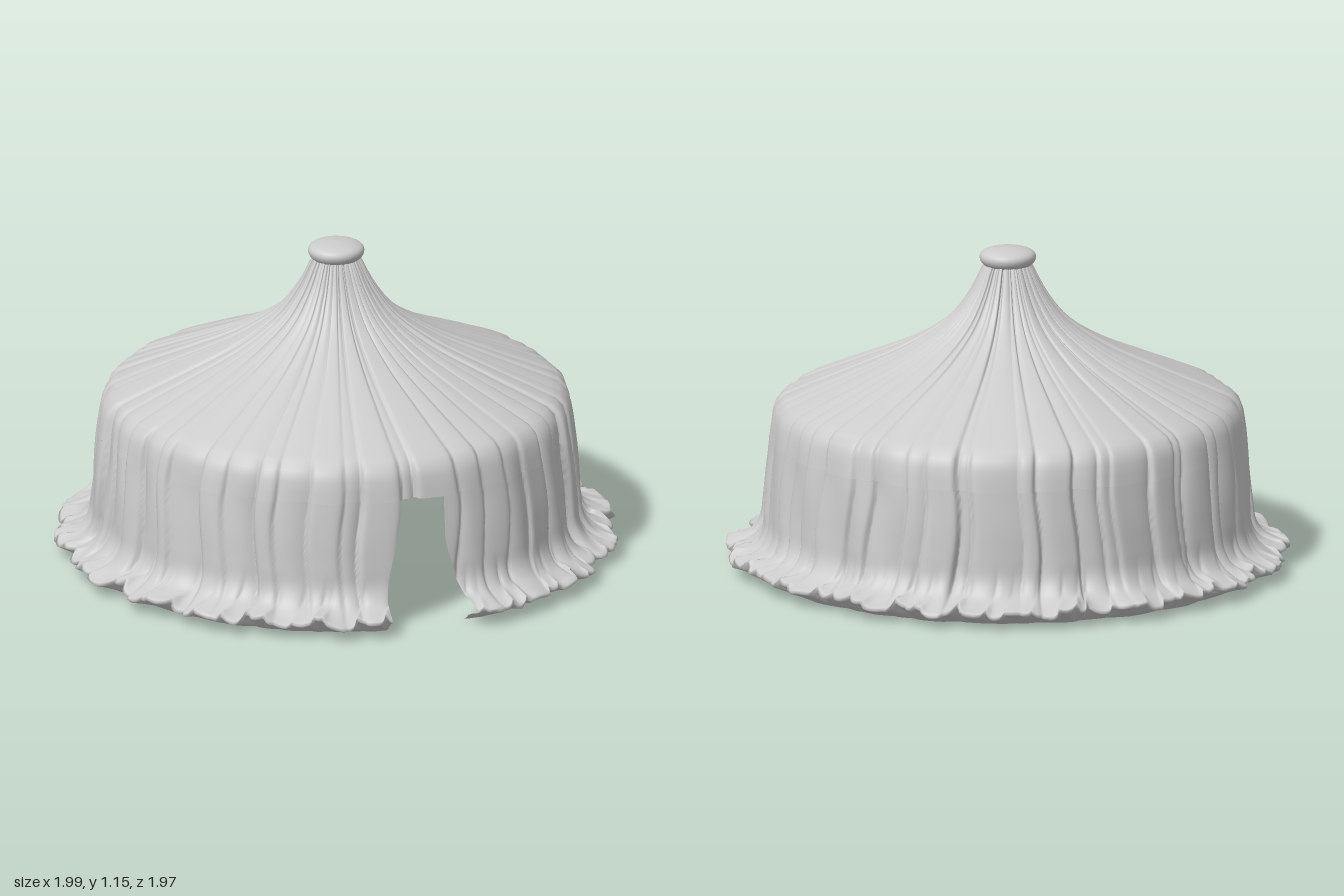
import * as THREE from 'three';

const TAU = Math.PI * 2;
const { lerp, smoothstep } = THREE.MathUtils;

// Small seeded generator
let seed = 7;
const rand = () => (seed = (seed * 16807) % 2147483647) / 2147483647;

// Pleats: irregular angles, each with its own depth, width and steep side
function makePleats(count, minWidth, maxWidth) {
  return Array.from({ length: count }, (_, i) => ({
    angle: ((i + 0.1 + 0.8 * rand()) / count) * TAU,
    depth: 0.35 + 0.65 * rand(),
    width: lerp(minWidth, maxWidth, rand()),
    side: rand() < 0.5 ? -1 : 1,
  }));
}

// Sharp creases with one steep and one soft side
function crease(pleats, theta) {
  let sum = 0;
  for (const p of pleats) {
    const d = p.side * Math.atan2(Math.sin(theta - p.angle), Math.cos(theta - p.angle));
    sum += p.depth * Math.exp(-Math.abs(d) / (d > 0 ? p.width : 0.008));
  }
  return sum;
}

const pleats = makePleats(50, 0.025, 0.075);
const ruffles = makePleats(72, 0.015, 0.04);

// Moves a point of the plain profile into draped, ruffled cloth
function drape(r, y, theta) {
  const wall = 1 - smoothstep(y, 0.4, 0.64);
  const hem = 1 - smoothstep(y, 0.07, 0.22);
  const wander = theta + wall * 0.018 * Math.sin(9 * y + 3 * theta);
  const roofDepth = lerp(0.012, 0.026, smoothstep(r, 0.08, 0.4));
  const depth = lerp(roofDepth, 0.033, wall) * smoothstep(y, -0.05, 0.07);
  let radius = r + 0.33 * depth - depth * crease(pleats, wander);
  radius += wall * 0.005 * Math.sin(23 * theta + 7 * y);
  let height = y;
  if (hem > 0) {
    const ruffle = crease(ruffles, theta + 0.3 * (r - 0.88));
    const flare = smoothstep(r, 0.86, 1);
    const waves = 0.012 * Math.sin(17 * theta + 1) + 0.008 * Math.sin(5 * theta);
    radius += hem * flare * (waves + 0.004 - 0.03 * ruffle);
    height += hem * flare * (0.036 * ruffle - 0.008 + 0.008 * Math.sin(29 * theta)) * smoothstep(y, 0.01, 0.06);
    // gathers at the foot of the wall
    radius -= hem * (1 - flare) * 0.018 * (ruffle - 0.4) * smoothstep(y, 0.01, 0.1);
  }
  radius = Math.min(radius, 1);
  return [radius * Math.sin(theta), Math.max(height, 0.004), radius * Math.cos(theta)];
}

// Cloth swept round the axis along a profile of [radius, height] points
function cloth(name, profile, rows, cols, range, material) {
  const curve = new THREE.CatmullRomCurve3(
    profile.map(([r, y]) => new THREE.Vector3(r, y, 0)), false, 'centripetal');
  const closed = !range;
  const stride = closed ? cols : cols + 1;
  const positions = [];
  const index = [];
  for (let i = 0; i <= rows; i++) {
    const p = curve.getPointAt(i / rows);
    const [from, to] = closed ? [0, TAU] : range(p.y);
    for (let j = 0; j < stride; j++) {
      positions.push(...drape(p.x, p.y, lerp(from, to, j / cols)));
      if (i === rows || j === cols) continue;
      const a = i * stride + j;
      const b = i * stride + ((j + 1) % stride);
      index.push(a, a + stride, b, b, a + stride, b + stride);
    }
  }
  const geometry = new THREE.BufferGeometry();
  geometry.setAttribute('position', new THREE.Float32BufferAttribute(positions, 3));
  geometry.setIndex(index);
  geometry.computeVertexNormals();
  const mesh = new THREE.Mesh(geometry, material);
  mesh.name = name;
  return mesh;
}

export function createModel() {
  const group = new THREE.Group();
  group.name = 'tent';
  const material = new THREE.MeshStandardMaterial({ color: 0xcccccc });
  const clothMaterial = new THREE.MeshStandardMaterial({ color: 0xcccccc, side: THREE.DoubleSide });

  const add = (name, geometry, x = 0, y = 0, z = 0) => {
    const mesh = new THREE.Mesh(geometry, material);
    mesh.name = name;
    mesh.position.set(x, y, z);
    group.add(mesh);
    return mesh;
  };

  // Roof with the valance that runs over the doorway
  group.add(cloth('roof', [
    [0.08, 1.1], [0.095, 1.07], [0.13, 1.0], [0.205, 0.9], [0.35, 0.8], [0.57, 0.7],
    [0.735, 0.63], [0.805, 0.595], [0.824, 0.56], [0.835, 0.5], [0.839, 0.47],
  ], 28, 900, null, clothMaterial));

  // Wall with its flared hem folded under, open at the doorway
  const doorway = (y) => [
    lerp(0.22, 0.143, smoothstep(y, 0.05, 0.34)),
    TAU - lerp(0.115, 0.048, smoothstep(y, 0.08, 0.47)),
  ];
  group.add(cloth('wall', [
    [0.839, 0.47], [0.853, 0.33], [0.86, 0.23], [0.868, 0.15], [0.895, 0.105],
    [0.945, 0.08], [0.995, 0.062], [0.955, 0.04], [0.885, 0.004],
  ], 40, 900, doorway, clothMaterial));

  // Rounded cap on the peak
  const capProfile = new THREE.SplineCurve([
    [0, 1.085], [0.065, 1.087], [0.09, 1.098], [0.1, 1.12], [0.09, 1.139], [0.055, 1.151], [0, 1.157],
  ].map(([r, y]) => new THREE.Vector2(r, y)));
  add('cap', new THREE.LatheGeometry(capProfile.getPoints(24), 40));

  // Centre pole
  add('centrePole', new THREE.CylinderGeometry(0.018, 0.018, 1.1, 16), 0, 0.56, 0);

  // Ring carried by the side poles
  add('ring', new THREE.TorusGeometry(0.78, 0.018, 10, 96), 0, 0.51, 0).rotation.x = Math.PI / 2;

  // Side poles, leaving the doorway free
  const pole = new THREE.CylinderGeometry(0.016, 0.016, 0.5, 12);
  for (let i = 1; i < 12; i++) {
    const a = (i / 12) * TAU;
    add('sidePole', pole, 0.79 * Math.sin(a), 0.258, 0.79 * Math.cos(a));
  }
  return group;
}
